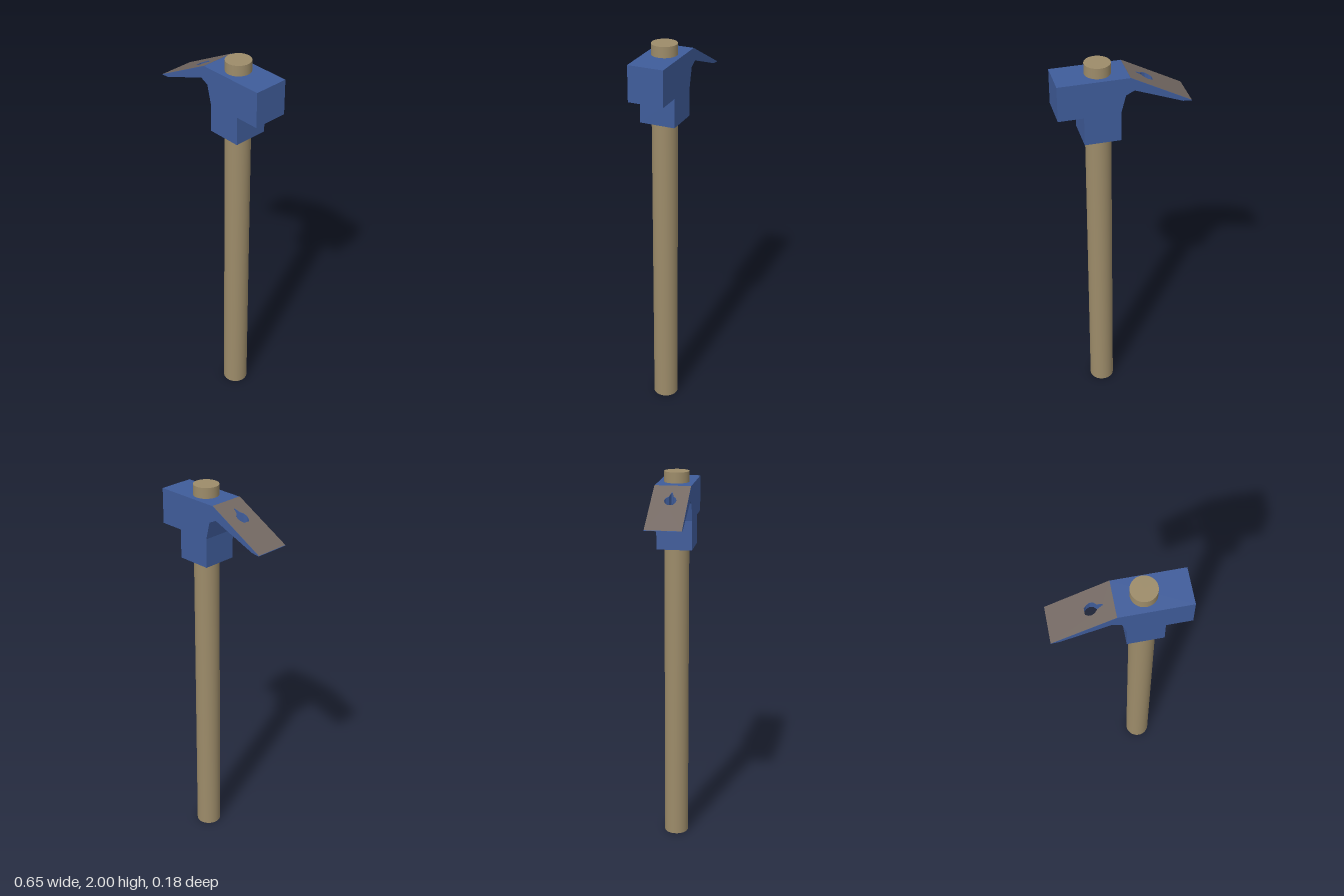
import * as THREE from 'three';

const HALF = 0.091; // half the width of the head
const EYE_X = 0.112; // handle axis

// heights of the claw's top and underside along x
const topY = x => 1.946 + (x + 0.025) * 0.535;
const underY = x => 1.878 + (x + 0.045) * 0.383;

// side profile swept across the head's width
function profile(points) {
  const shape = new THREE.Shape(points.map(([x, y]) => new THREE.Vector2(x, y)));
  const geo = new THREE.ExtrudeGeometry(shape, { depth: 2 * HALF, bevelEnabled: false });
  return geo.translate(0, 0, -HALF);
}

// plan rectangle with the keyhole-shaped nail slot, as [x, z]
function clawPlan(x0, x1) {
  const shape = new THREE.Shape([[x0, -HALF], [x1, -HALF], [x1, HALF], [x0, HALF]]
    .map(([x, z]) => new THREE.Vector2(x, z)));
  const slot = [[-0.157, -0.01], [-0.144, -0.021], [-0.128, -0.026], [-0.112, -0.021],
    [-0.1, -0.006], [-0.075, 0.002], [-0.073, 0.008], [-0.1, 0.017], [-0.112, 0.03],
    [-0.128, 0.035], [-0.144, 0.031], [-0.157, 0.02]];
  shape.holes.push(new THREE.Path(slot.map(([x, z]) => new THREE.Vector2(x, -z))));
  return shape;
}

// sets each vertex's height by a rule
function setHeights(geo, rule) {
  const p = geo.attributes.position;
  for (let i = 0; i < p.count; i++) p.setY(i, rule(p.getX(i), p.getY(i)));
  geo.computeVertexNormals();
  return geo;
}

export function createModel() {
  const model = new THREE.Group();
  model.name = 'hammer';
  const steel = new THREE.MeshStandardMaterial({ color: 0x3f5c9a });
  const wood = new THREE.MeshStandardMaterial({ color: 0x9c8b69 });
  const worn = new THREE.MeshStandardMaterial({ color: 0x736862 });
  const add = (name, geo, material, parent = model) => {
    const mesh = new THREE.Mesh(geo, material);
    mesh.name = name;
    parent.add(mesh);
    return mesh;
  };

  // round handle running through the head
  add('handle', new THREE.CylinderGeometry(0.064, 0.064, 2, 48), wood)
    .position.set(EYE_X, 1, 0);

  const head = new THREE.Group();
  head.name = 'head';
  model.add(head);

  // striking block and socket
  add('headBlock', profile([
    [-0.045, topY(-0.045)], [-0.045, underY(-0.045)], [-0.003, 1.857], [0.02, 1.765],
    [0.02, 1.615], [0.2, 1.615], [0.2, 1.764], [0.326, 1.764], [0.326, 1.946], [-0.025, 1.946],
  ]), steel, head);

  // sloping claw with the slot cut straight down through it
  const claw = new THREE.ExtrudeGeometry(clawPlan(-0.285, -0.045), { depth: 1, bevelEnabled: false });
  claw.rotateX(-Math.PI / 2);
  add('claw', setHeights(claw, (x, y) => (y > 0.5 ? topY(x) : underY(x))), steel, head);

  // thin sharpened end
  add('clawTip', profile([
    [-0.328, 1.782], [-0.285, underY(-0.285)], [-0.285, topY(-0.285)], [-0.328, topY(-0.328)],
  ]), steel, head);

  // bare upper face of the claw
  const face = new THREE.ShapeGeometry(clawPlan(-0.328, -0.025)).rotateX(-Math.PI / 2);
  add('clawFace', setHeights(face, x => topY(x) + 0.0015), worn, head);

  return model;
}
